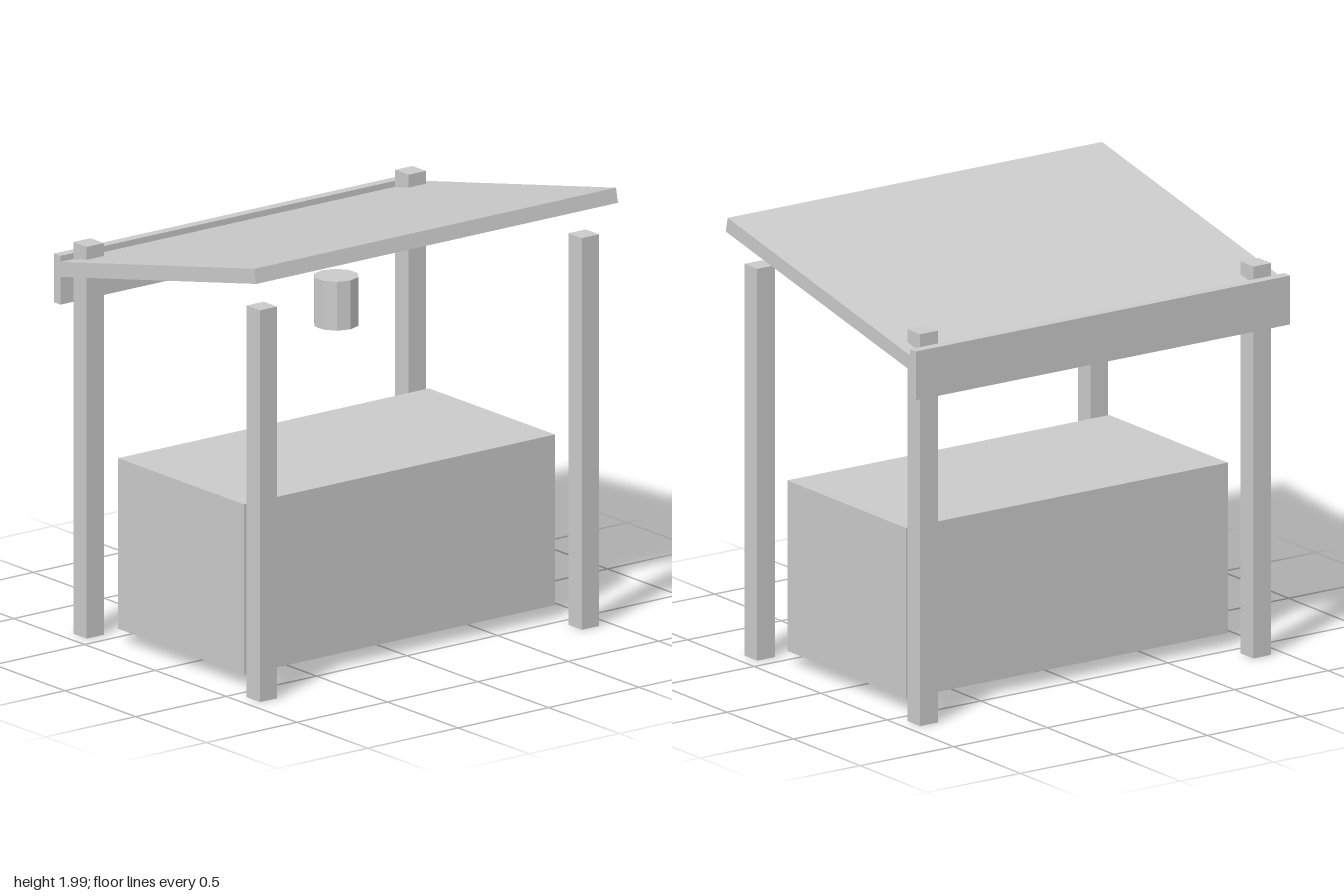
import * as THREE from 'three';

export function createModel() {
  const stall = new THREE.Group();
  stall.name = 'marketStall';
  const grey = new THREE.MeshStandardMaterial({ color: 0xcccccc, flatShading: true });
  grey.name = 'plain grey';

  function add(name, geometry, x, y, z) {
    const mesh = new THREE.Mesh(geometry, grey);
    mesh.name = name;
    mesh.position.set(x, y, z);
    stall.add(mesh);
    return mesh;
  }

  // Four corner posts
  const postHeight = 1.78;
  const postGeometry = new THREE.BoxGeometry(0.095, postHeight, 0.095);
  for (const [end, z] of [['front', 0.612], ['back', -0.612]]) {
    for (const [side, x] of [['Left', 0.89], ['Right', -0.89]]) {
      add(end + side + 'Post', postGeometry, x, postHeight / 2, z);
    }
  }

  // Solid counter, raised slightly off the ground
  add('counter', new THREE.BoxGeometry(1.72, 0.775, 0.89), 0, 0.447, 0.002);

  // Roof slab, rising towards the front
  const roof = add('roof', new THREE.BoxGeometry(2, 0.067, 1.443), 0, 1.807, 0);
  roof.rotation.x = -THREE.MathUtils.degToRad(12);

  // Board across the low back edge of the roof
  add('backBoard', new THREE.BoxGeometry(2, 0.222, 0.045), 0, 1.615, -0.693);

  // Ten-sided lantern under the roof
  add('lantern', new THREE.CylinderGeometry(0.1, 0.1, 0.222, 10), 0, 1.5, 0);

  return stall;
}
